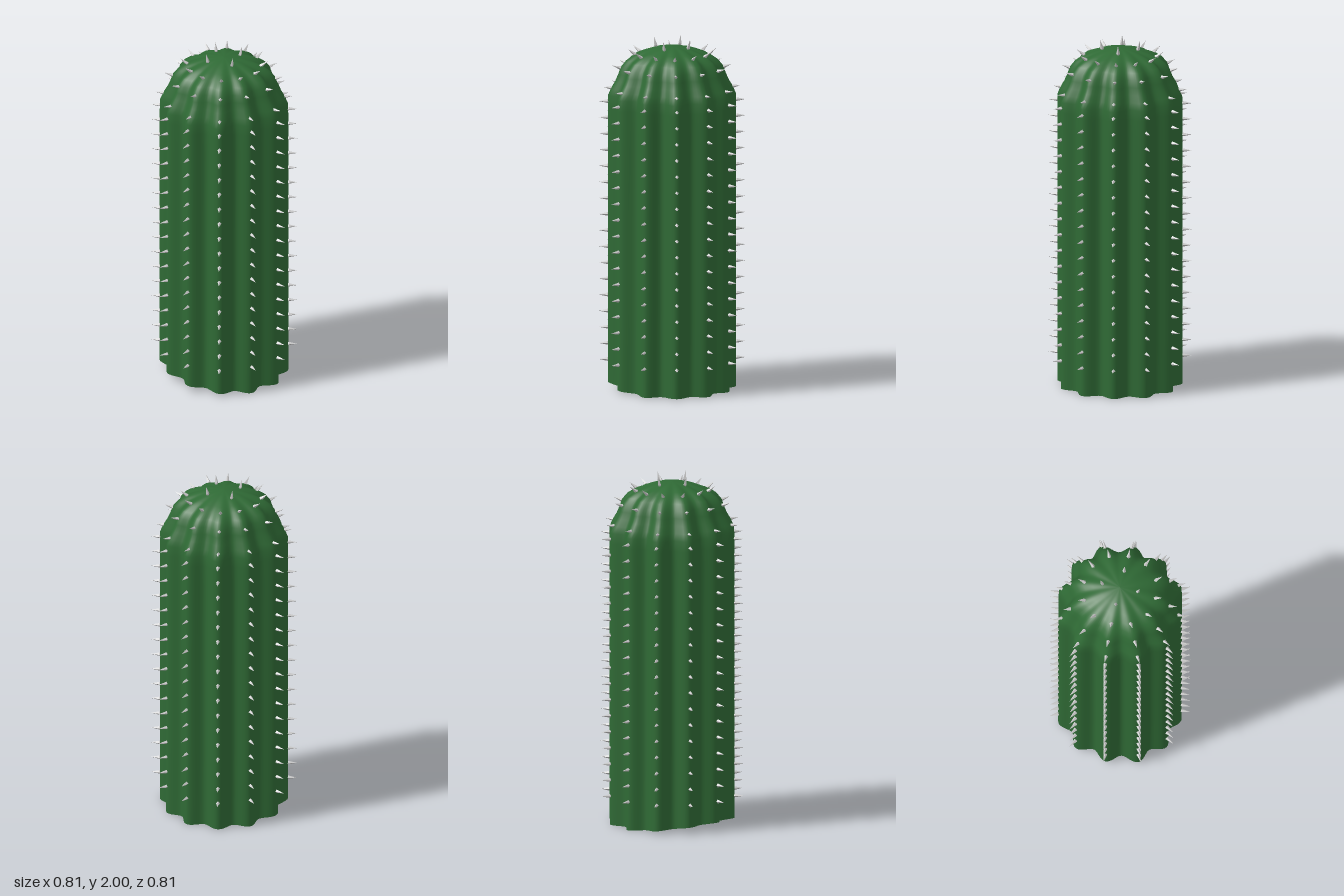
import * as THREE from 'three';
import { mergeGeometries } from 'three/addons/utils/BufferGeometryUtils.js';

const RIBS = 12;

// Ridge radius, height and rib depth from the foot to the crown
const PROFILE = [
  [0.36, 0, 0.05], [0.36, 0.5, 0.05], [0.36, 1.0, 0.05], [0.36, 1.5, 0.05],
  [0.36, 1.62, 0.05], [0.358, 1.68, 0.05], [0.342, 1.72, 0.046], [0.318, 1.76, 0.038],
  [0.301, 1.8, 0.034], [0.287, 1.84, 0.032], [0.258, 1.876, 0.029], [0.217, 1.905, 0.025],
  [0.165, 1.925, 0.016], [0.11, 1.943, 0.008], [0.055, 1.953, 0.002], [0.0, 1.957, 0],
];

// Ribbed open-bottomed body, lofted from scalloped rings
function bodyGeometry() {
  const around = RIBS * 12;
  const position = [], index = [];
  PROFILE.forEach(([radius, y, depth], row) => {
    for (let i = 0; i < around; i++) {
      const a = (i / around) * Math.PI * 2;
      const rib = (1 - Math.cos(RIBS * a)) / 2;
      const r = radius - depth * rib - 0.014 * radius * Math.cos(4 * a);
      const x = r * Math.cos(a);
      // The foot is cut slightly upwards on one side
      const lift = row === 0 ? 0.042 * Math.pow(Math.max(0, -x) / 0.35, 1.5) : 0;
      position.push(x, y + lift, r * Math.sin(a));
      if (row > 0) {
        const j = (i + 1) % around;
        const low = (row - 1) * around, high = row * around;
        index.push(low + i, high + i, low + j);
        if (row < PROFILE.length - 1) index.push(high + i, high + j, low + j);
      }
    }
  });
  const geometry = new THREE.BufferGeometry();
  geometry.setAttribute('position', new THREE.Float32BufferAttribute(position, 3));
  geometry.setIndex(index);
  geometry.computeVertexNormals();
  return geometry;
}

// Four-sided spine with a short root that sits inside the body
const spine = new THREE.LatheGeometry(
  [new THREE.Vector2(0, -0.022), new THREE.Vector2(0.011, 0), new THREE.Vector2(0, 0.05)], 4);

// A ring of spines, leaning upwards by the given angle
function spineRing(count, radius, y, lean) {
  const ring = [];
  for (let i = 0; i < count; i++) {
    const a = (i / count) * Math.PI * 2;
    const r = radius * (1 - 0.014 * Math.cos(4 * a));
    ring.push(spine.clone()
      .rotateZ(lean - Math.PI / 2)
      .translate(r, y, 0)
      .rotateY(a));
  }
  return ring;
}

export function createModel() {
  const model = new THREE.Group();
  model.name = 'cactus';
  const green = new THREE.MeshStandardMaterial({ color: 0x2f6a35, side: THREE.DoubleSide });
  const grey = new THREE.MeshStandardMaterial({ color: 0xcccccc, flatShading: true });

  const add = (name, geometry, material) => {
    const mesh = new THREE.Mesh(geometry, material);
    mesh.name = name;
    model.add(mesh);
  };

  add('ribbedBody', bodyGeometry(), green);

  // Straight rows up every ridge
  const side = [];
  for (let i = 0; i < 17; i++) side.push(...spineRing(RIBS, 0.361, 0.165 + i * 0.0925, 0));
  add('sideSpines', mergeGeometries(side), grey);

  // Rings over the shoulder and dome
  const dome = [
    ...spineRing(RIBS, 0.335, 1.72, 0.1),
    ...spineRing(RIBS, 0.287, 1.833, 0.3),
    ...spineRing(RIBS, 0.207, 1.91, 0.65),
  ];
  add('domeSpines', mergeGeometries(dome), grey);

  // Four upright spines around the tip
  add('crownSpines', mergeGeometries(spineRing(4, 0.103, 1.951, 1.35)), grey);
  return model;
}
